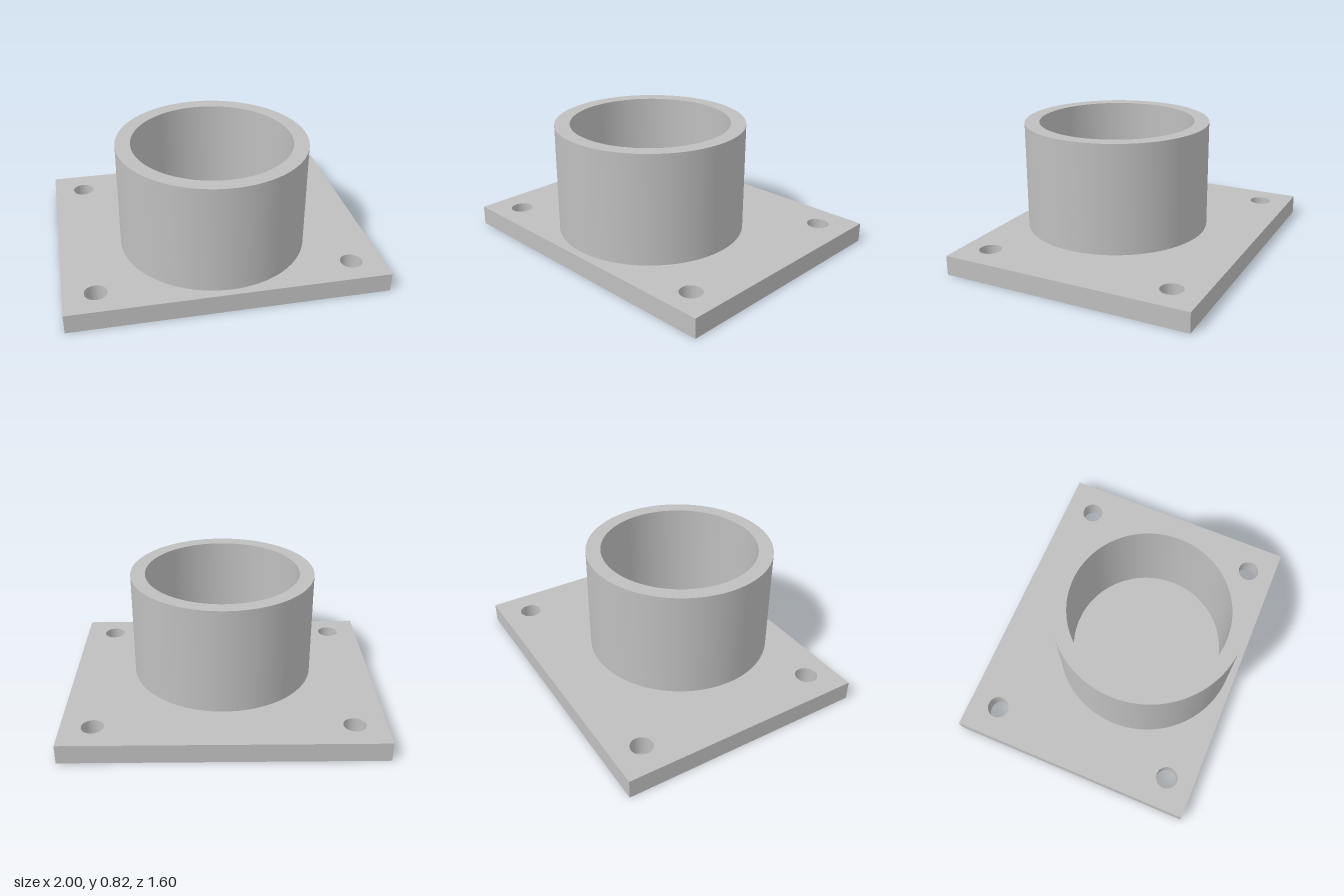
import * as THREE from 'three';
import { toCreasedNormals } from 'three/addons/utils/BufferGeometryUtils.js';

const PLATE_W = 2, PLATE_D = 1.6, PLATE_H = 0.125;
const TOTAL_H = 0.825;
const COLLAR_Z = 0.15, OUTER_R = 0.6, INNER_R = 0.505;
const BOLT_X = 0.8, BOLT_R = 0.07, BOLT_ZS = [-0.605, 0.62];

// circular hole in plan coordinates (shape y = -z)
function hole(x, z, r) {
  return new THREE.Path().absarc(x, -z, r, 0, Math.PI * 2, true);
}

// extrude a plan shape upward, smooth walls and sharp rims
function extrudeUp(shape, height, curveSegments) {
  const g = new THREE.ExtrudeGeometry(shape, { depth: height, bevelEnabled: false, curveSegments });
  g.rotateX(-Math.PI / 2);
  return toCreasedNormals(g, Math.PI / 5);
}

export function createModel() {
  const group = new THREE.Group();
  group.name = 'flangedSocket';
  const metal = new THREE.MeshStandardMaterial({ color: 0xbfbfbf });
  metal.name = 'grey metal';

  // base plate with four bolt holes
  const w = PLATE_W / 2, d = PLATE_D / 2;
  const plateShape = new THREE.Shape([
    new THREE.Vector2(-w, -d), new THREE.Vector2(w, -d),
    new THREE.Vector2(w, d), new THREE.Vector2(-w, d),
  ]);
  for (const x of [-BOLT_X, BOLT_X])
    for (const z of BOLT_ZS) plateShape.holes.push(hole(x, z, BOLT_R));
  const plate = new THREE.Mesh(extrudeUp(plateShape, PLATE_H, 32), metal);
  plate.name = 'basePlate';
  group.add(plate);

  // hollow round collar, closed below by the plate
  const ringShape = new THREE.Shape().absarc(0, 0, OUTER_R, 0, Math.PI * 2, false);
  ringShape.holes.push(hole(0, 0, INNER_R));
  const collar = new THREE.Mesh(extrudeUp(ringShape, TOTAL_H - PLATE_H, 72), metal);
  collar.name = 'collar';
  collar.position.set(0, PLATE_H, COLLAR_Z);
  group.add(collar);

  return group;
}
